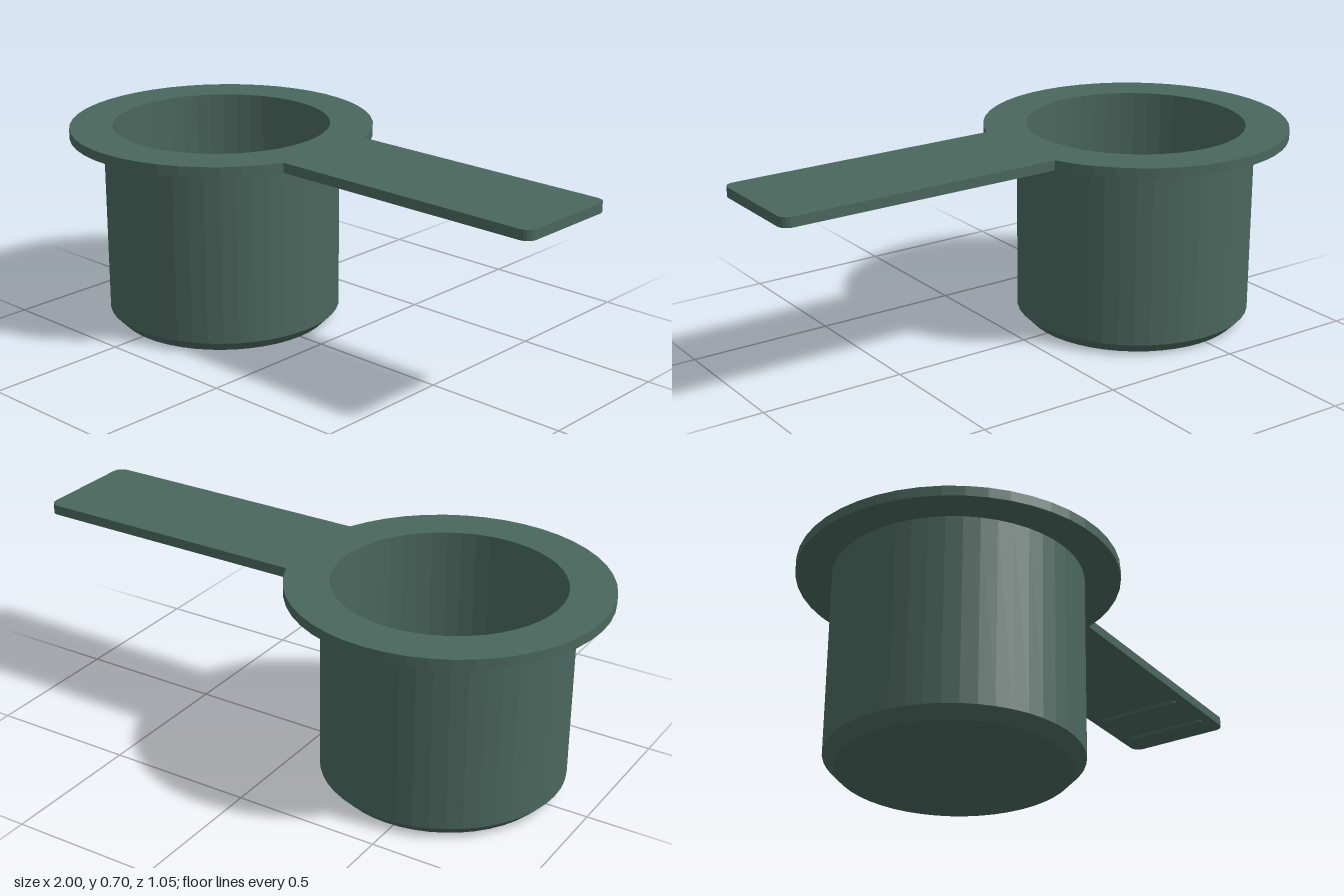
import * as THREE from 'three';

const SIDES = 48;
const CUP_X = -0.473;
const RIM_R = 0.527, OUTER_R = 0.41, INNER_R = 0.378;
const PLATE_Y = 0.667, PLATE_T = 0.034;
const HANDLE_HALF = 0.196, CORNER = 0.035;

const material = new THREE.MeshStandardMaterial({ color: 0x4a675d, flatShading: true });

function addMesh(parent, name, geometry, x = 0, y = 0, z = 0) {
  const mesh = new THREE.Mesh(geometry, material);
  mesh.name = name;
  mesh.position.set(x, y, z);
  parent.add(mesh);
  return mesh;
}

// Points along an arc, both ends included
function arc(cx, cy, r, from, to, steps) {
  return Array.from({ length: steps + 1 }, (_, i) => {
    const a = from + ((to - from) * i) / steps;
    return new THREE.Vector2(cx + r * Math.cos(a), cy + r * Math.sin(a));
  });
}

// Rim ring and handle as one flat plate with the cup opening cut out
function plateGeometry() {
  const join = Math.asin(HANDLE_HALF / RIM_R);
  const cornerX = 1 - CORNER, cornerY = HANDLE_HALF - CORNER;
  const shape = new THREE.Shape([
    ...arc(CUP_X, 0, RIM_R, join, 2 * Math.PI - join, 42),
    ...arc(cornerX, -cornerY, CORNER, -Math.PI / 2, 0, 5),
    ...arc(cornerX, cornerY, CORNER, 0, Math.PI / 2, 5),
  ]);
  const opening = arc(CUP_X, 0, INNER_R, 0, -2 * Math.PI, SIDES).slice(0, -1);
  shape.holes.push(new THREE.Path(opening));
  return new THREE.ExtrudeGeometry(shape, { depth: PLATE_T, bevelEnabled: false }).rotateX(-Math.PI / 2);
}

// Hollow cup: chamfered foot, outer wall, inner wall, floor
function cupGeometry() {
  const profile = [
    [0, 0], [0.373, 0], [OUTER_R, 0.038], [OUTER_R, PLATE_Y],
    [INNER_R, PLATE_Y], [INNER_R, 0.038], [0, 0.038],
  ].map(([r, y]) => new THREE.Vector2(r, y));
  return new THREE.LatheGeometry(profile, SIDES);
}

export function createModel() {
  const scoop = new THREE.Group();
  scoop.name = 'measuringScoop';

  addMesh(scoop, 'cup', cupGeometry(), CUP_X);
  addMesh(scoop, 'rimAndHandle', plateGeometry(), 0, PLATE_Y);

  // Rounded grip ridges half sunk into the underside of the handle
  const r = 0.012;
  for (const x of [0.69, 0.89]) {
    const ridge = new THREE.CapsuleGeometry(r, 0.314 - 2 * r, 4, 12).rotateX(Math.PI / 2);
    addMesh(scoop, 'gripRidge', ridge, x, PLATE_Y);
  }
  return scoop;
}
